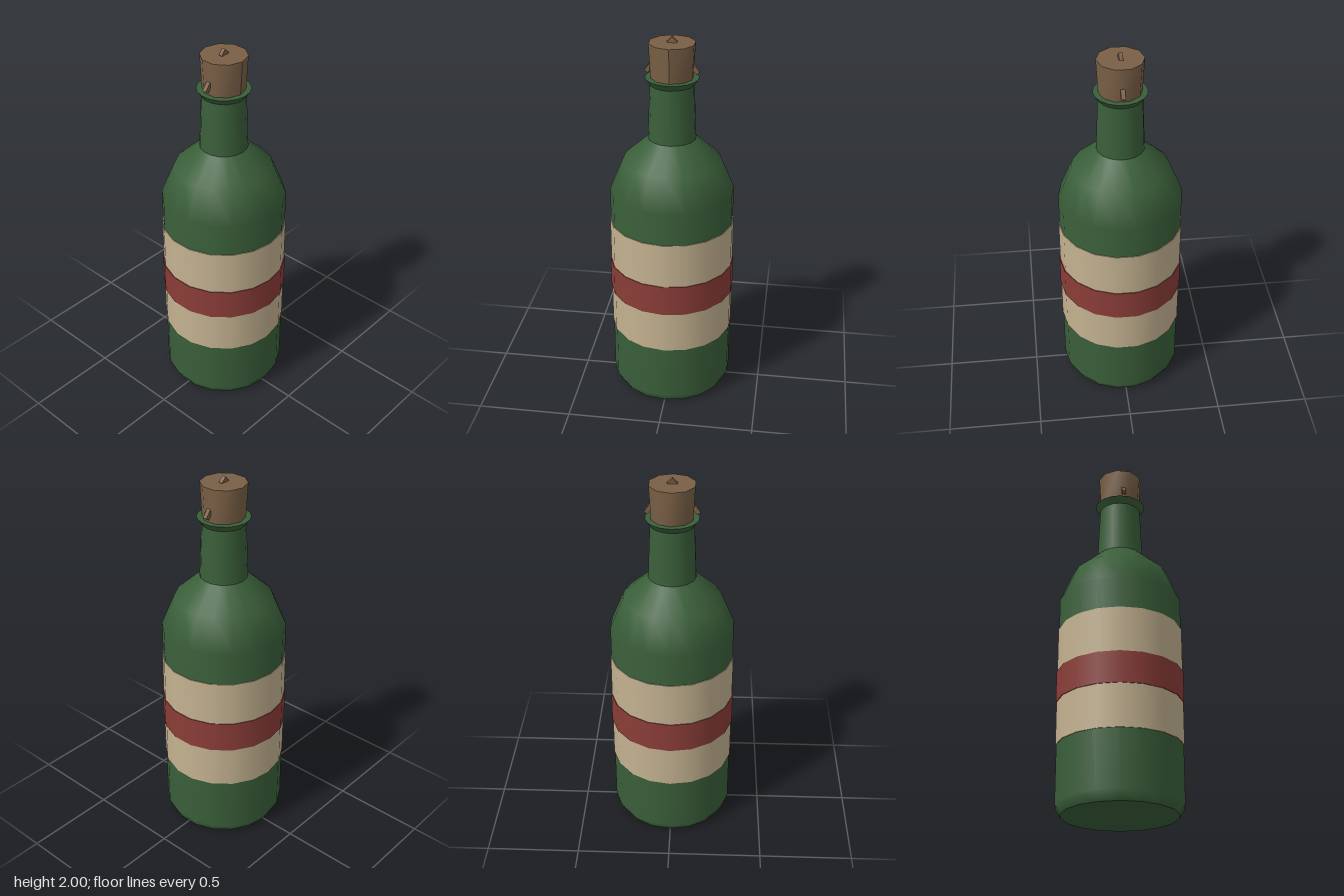
import * as THREE from 'three';

const mat = (name, color) => {
  const m = new THREE.MeshStandardMaterial({ color });
  m.name = name;
  return m;
};

export function createModel() {
  const group = new THREE.Group();
  group.name = 'corkedBottle';
  const glass = mat('greenGlass', 0x3a5f3a);
  const paper = mat('paperLabel', 0xc4b291);
  const red = mat('redStripe', 0x8b3d38);
  const cork = mat('cork', 0x7a6046);

  const add = (name, geometry, material) => {
    const mesh = new THREE.Mesh(geometry, material);
    mesh.name = name;
    group.add(mesh);
    return mesh;
  };
  // Quarter turn puts a corner of each round part on the x axis
  const lathe = (name, points) => add(name, new THREE.LatheGeometry(
    points.map(([r, y]) => new THREE.Vector2(r, y)), 18).rotateY(Math.PI / 2), glass);
  const drum = (name, top, bottom, y0, y1, sides, material) => add(name,
    new THREE.CylinderGeometry(top, bottom, y1 - y0, sides)
      .rotateY(Math.PI / 2).translate(0, (y0 + y1) / 2, 0), material);

  // Glass, split into lathes where the edges are sharp
  lathe('base', [[0, 0], [0.3, 0]]);
  lathe('body', [[0.3, 0], [0.328, 0.05], [0.328, 1.175], [0.257, 1.345], [0.125, 1.465]]);
  lathe('neck', [[0.125, 1.465], [0.113, 1.765]]);
  lathe('lip', [[0.113, 1.755], [0.138, 1.79]]);
  lathe('lipTop', [[0.138, 1.79], [0, 1.79]]);

  // Wrapped label and its stripe
  drum('label', 0.332, 0.332, 0.355, 1.0, 18, paper);
  drum('labelStripe', 0.336, 0.336, 0.585, 0.755, 18, red);

  // Stopper with small chips sticking out of the top, front and back
  drum('cork', 0.12, 0.11, 1.785, 1.97, 10, cork).geometry.computeVertexNormals();
  const topChip = add('topChip', new THREE.BoxGeometry(0.02, 0.038, 0.038), cork);
  topChip.position.set(0, 1.973, 0);
  topChip.rotation.set(Math.PI / 4, 0.08, 0);
  for (const side of [1, -1]) {
    const chip = add(side > 0 ? 'frontChip' : 'backChip',
      new THREE.BoxGeometry(0.022, 0.05, 0.022), cork);
    chip.position.set(0, 1.836, side * 0.117);
    chip.rotation.x = -side * 0.65;
  }
  return group;
}
